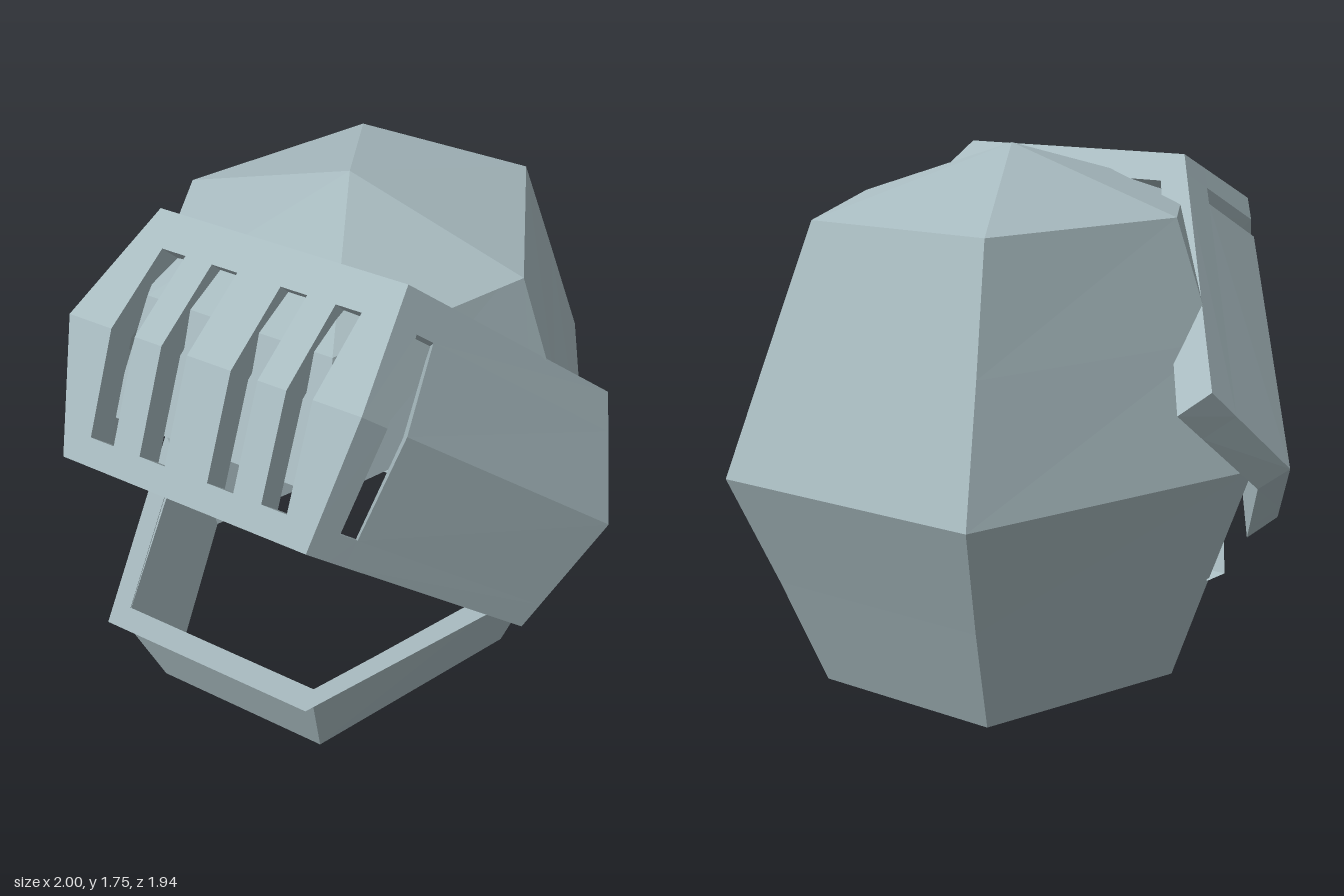
import * as THREE from 'three';

const steel = new THREE.MeshStandardMaterial({ color: 0xa9bcc1 });
steel.name = 'steel';

const mix = (a, b, t) => a.map((v, i) => v + (b[i] - v) * t);

// Closed plate from an outer and an inner grid of points; absent cells become cut-outs.
// Rows run upwards, columns run left to right as seen from outside.
function plate(name, outer, inner, solid = () => true, wrap = false) {
  const rows = outer.length - 1;
  const n = outer[0].length;
  const cols = wrap ? n : n - 1;
  const pos = [];
  const tri = (a, b, c) => {
    const [A, B, C] = [a, b, c].map((p) => new THREE.Vector3(...p));
    if (B.sub(A).cross(C.sub(A)).length() > 1e-7) pos.push(...a, ...b, ...c);
  };
  const quad = (a, b, c, d) => { tri(a, b, c); tri(a, c, d); };
  const has = (r, c) => {
    if (wrap) c = (c + cols) % cols;
    return r >= 0 && r < rows && c >= 0 && c < cols && solid(r, c);
  };
  for (let r = 0; r < rows; r++) {
    for (let c = 0; c < cols; c++) {
      if (!has(r, c)) continue;
      const d = (c + 1) % n;
      const ids = [[r, c], [r, d], [r + 1, d], [r + 1, c]];
      const o = ids.map(([i, j]) => outer[i][j]);
      const k = ids.map(([i, j]) => inner[i][j]);
      quad(...o);
      quad(k[3], k[2], k[1], k[0]);
      // rim walls along every open edge
      [[r - 1, c], [r, c + 1], [r + 1, c], [r, c - 1]].forEach(([i, j], e) => {
        const f = (e + 1) % 4;
        if (!has(i, j)) quad(k[e], k[f], o[f], o[e]);
      });
    }
  }
  const geo = new THREE.BufferGeometry();
  geo.setAttribute('position', new THREE.Float32BufferAttribute(pos, 3));
  geo.computeVertexNormals();
  const mesh = new THREE.Mesh(geo, steel);
  mesh.name = name;
  return mesh;
}

// Six-sided ring with two extra points where the face opening starts
function hexRing(y, side, corner, front, back) {
  const zs = -0.02;
  const s = [side, y, zs];
  const f = [corner, y, front];
  const cut = mix(s, f, front > zs ? 0.09 / (front - zs) : 0);
  const flip = ([x, py, z]) => [-x, py, z];
  return [flip(s), flip(cut), flip(f), f, cut, s, [corner, y, back], [-corner, y, back]];
}

function helmetShell() {
  // y, side x, front/back corner x, front z, back z
  const rings = [
    [0, 0.64, 0.32, 0.73, -0.67],
    [0.39, 0.77, 0.38, 0.87, -0.82],
    [0.77, 0.9, 0.45, 0.93, -0.97],
    [1.17, 0.75, 0.385, 0.78, -0.815],
    [1.55, 0.61, 0.32, 0.63, -0.67],
    [1.75, 0, 0, -0.02, -0.02],
  ];
  const outer = rings.map((r) => hexRing(...r));
  const drop = [0, 0, 0, 0, 0.04, 0.05];
  const inner = outer.map((ring, i) => ring.map(([x, y, z]) =>
    [x * 0.95, y - drop[i], (z + 0.02) * 0.95 - 0.02]));
  // face opening between chin and brow
  const solid = (r, c) => !((r === 1 || r === 2) && c >= 1 && c <= 3);
  return plate('helmetShell', outer, inner, solid, true);
}

// Flared lip around the top of the chin guard
function chinLip() {
  const row = (sx, sy, sz, fx, fy, fz) =>
    [[-sx, sy, sz], [-fx, fy, fz], [fx, fy, fz], [sx, sy, sz]];
  const outer = [row(0.765, 0.37, -0.03, 0.375, 0.35, 0.86), row(0.81, 0.395, 0.0, 0.385, 0.395, 0.92)];
  const inner = [row(0.735, 0.37, -0.02, 0.36, 0.35, 0.83), row(0.735, 0.395, 0.0, 0.36, 0.395, 0.83)];
  return plate('chinLip', outer, inner);
}

// Raised visor with breathing slots, modelled level and then tilted up
function visor() {
  // front corner x, front z, side x, side z
  const edge = { out: [0.43, 1.478, 0.85, 0.588], in: [0.385, 1.36, 0.77, 0.49] };
  const ridge = { out: [0.5, 1.619, 1.0, 0.58], in: [0.45, 1.5, 0.92, 0.49] };
  const low = 0.11, mid = 0.516, high = 0.923;
  const row = (y, key) => {
    const t = y < mid ? (y - low) / (mid - low) : (high - y) / (high - mid);
    const [fx, fz, sx, sz] = mix(edge[key], ridge[key], t);
    const corner = [fx, y, fz];
    const end = [sx, y, sz];
    const half = [
      ...[0.075, 0.165, 0.26, 0.345].map((x) => [x, y, fz]),
      corner, mix(corner, end, 0.09), mix(corner, end, 0.16), end,
    ];
    return [...half.map(([x, b, z]) => [-x, b, z]).reverse(), ...half];
  };
  const levels = [low, 0.195, mid, 0.8, high];
  const slots = [1, 4, 6, 8, 10, 13];
  const mesh = plate('visor',
    levels.map((y) => row(y, 'out')),
    levels.map((y) => row(y, 'in')),
    (r, c) => !((r === 1 || r === 2) && slots.includes(c)));
  mesh.rotation.x = -Math.PI / 4;
  return mesh;
}

export function createModel() {
  const group = new THREE.Group();
  group.name = 'helmet';
  group.add(helmetShell(), chinLip(), visor());
  return group;
}
